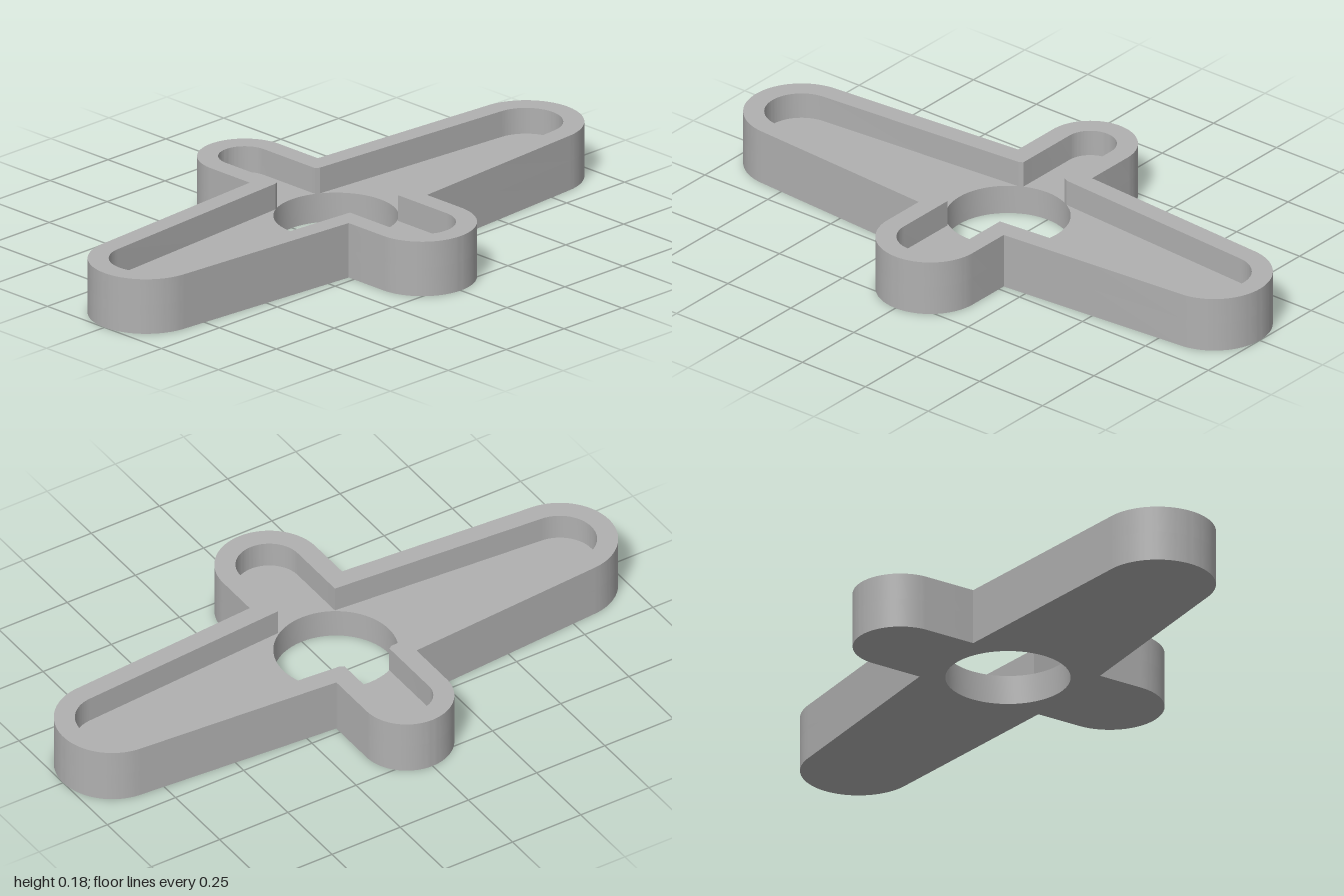
import * as THREE from 'three';
import { toCreasedNormals } from 'three/addons/utils/BufferGeometryUtils.js';

const HEIGHT = 0.18, FLOOR = 0.095, WALL = 0.065, HOLE = 0.193;
const LONG = { centre: 0.82, radius: 0.18, taper: 0.072 };
const BACK = { centre: 0.4, radius: 0.147 };
const FRONT = { centre: 0.378, radius: 0.169 };

// Inside corner between a short arm of half width w and a long arm of end radius r,
// clipped where it would reach into the centre hole.
function corner(w, r) {
  const sin = Math.sin(LONG.taper), cos = Math.cos(LONG.taper);
  const y = (r + (LONG.centre - w) * sin) / cos;
  if (Math.hypot(w, y) >= HOLE) return [[w, y], [w, y]];
  const d = r + LONG.centre * sin, s = Math.sqrt(HOLE * HOLE - d * d);
  return [[d * sin + s * cos, d * cos - s * sin], [w, Math.sqrt(HOLE * HOLE - w * w)]];
}

// Cross outline with rounded arm ends, moved inwards by inset (shape +y is the back)
function outline(inset, Kind) {
  const r = LONG.radius - inset, a = Math.PI / 2 - LONG.taper;
  const p = new Kind();
  const line = (points, sx, sy) => points.forEach(([x, y]) => p.lineTo(x * sx, y * sy));
  const b = BACK.radius - inset, f = FRONT.radius - inset;
  const cb = corner(b, r), cf = corner(f, r);
  p.moveTo(LONG.centre + r * Math.cos(a), -r * Math.sin(a));
  p.absarc(LONG.centre, 0, r, -a, a, false);
  line(cb, 1, 1);
  p.absarc(0, BACK.centre, b, 0, Math.PI, false);
  line([...cb].reverse(), -1, 1);
  p.absarc(-LONG.centre, 0, r, Math.PI - a, Math.PI + a, false);
  line(cf, -1, -1);
  p.absarc(0, -FRONT.centre, f, Math.PI, Math.PI * 2, false);
  line([...cf].reverse(), 1, -1);
  p.closePath();
  return p;
}

// Upright slab of a shape between two heights
function slab(name, shape, bottom, top, material) {
  const raw = new THREE.ExtrudeGeometry(shape, { depth: top - bottom, bevelEnabled: false, curveSegments: 32 });
  raw.rotateX(-Math.PI / 2).translate(0, bottom, 0);
  const mesh = new THREE.Mesh(toCreasedNormals(raw, 0.4), material);
  mesh.name = name;
  return mesh;
}

export function createModel() {
  const group = new THREE.Group();
  group.name = 'crossArm';
  const grey = new THREE.MeshStandardMaterial({ color: 0xb0b0b0 });
  grey.name = 'grey plastic';

  // Floor plate with the round centre hole
  const plate = outline(0, THREE.Shape);
  plate.holes.push(new THREE.Path().absarc(0, 0, HOLE, 0, Math.PI * 2, true));
  group.add(slab('basePlate', plate, 0, FLOOR, grey));

  // Raised rim around the recess
  const rim = outline(0, THREE.Shape);
  rim.holes.push(outline(WALL, THREE.Path));
  group.add(slab('raisedRim', rim, FLOOR, HEIGHT, grey));
  return group;
}
